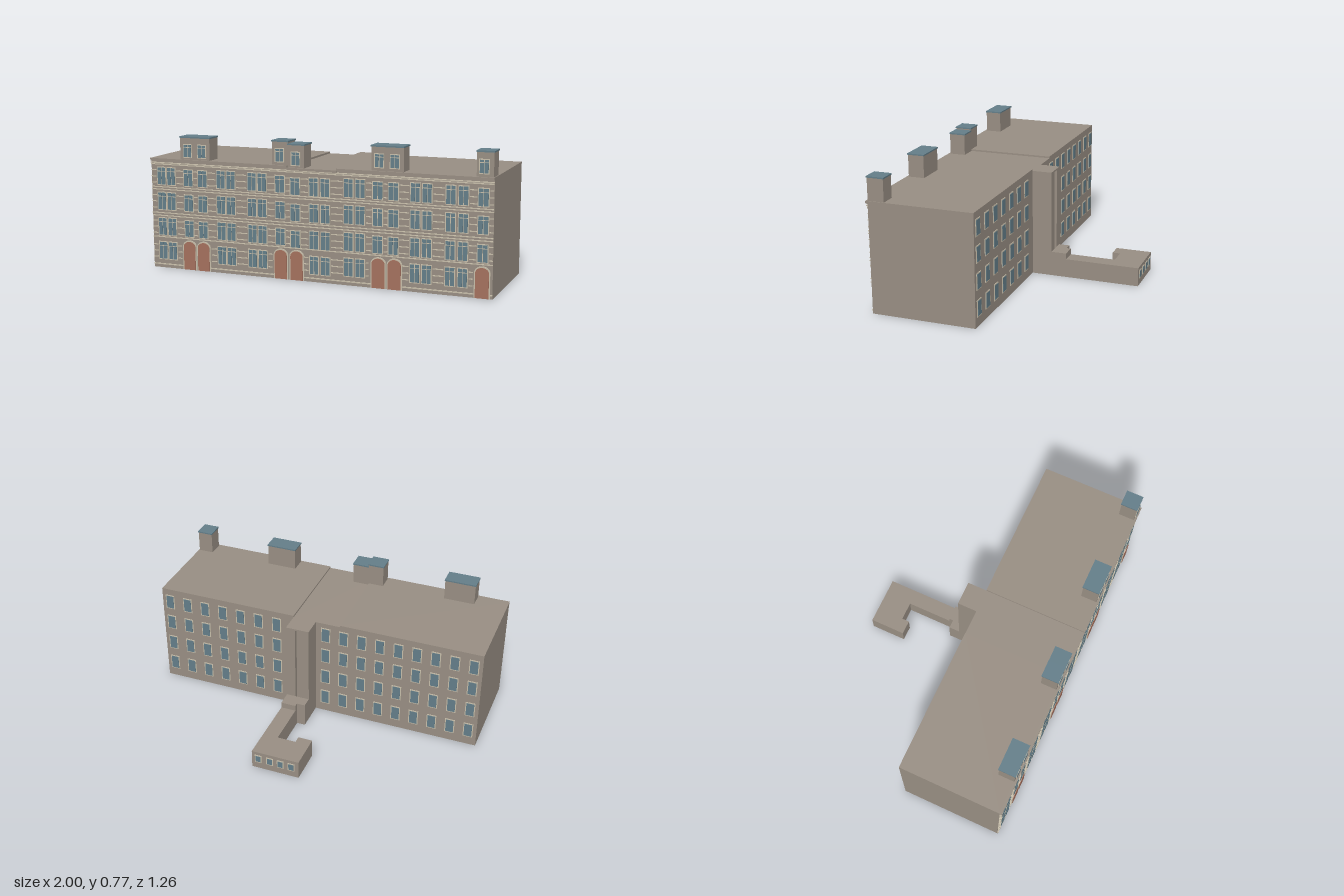
import * as THREE from 'three';
import { mergeGeometries } from 'three/addons/utils/BufferGeometryUtils.js';

const mat = (name, color) => Object.assign(new THREE.MeshStandardMaterial({ color }), { name });

// box given by its minimum and maximum corners
function box(x0, x1, y0, y1, z0, z1) {
  const g = new THREE.BoxGeometry(x1 - x0, y1 - y0, z1 - z0);
  return g.translate((x0 + x1) / 2, (y0 + y1) / 2, (z0 + z1) / 2);
}

// round-headed door panel standing on y = 0
function arch(x, w, h, z, depth) {
  const r = w / 2, rise = r * 0.8, s = new THREE.Shape();
  s.moveTo(-r, 0.002);
  s.lineTo(r, 0.002);
  s.lineTo(r, h - rise);
  s.absellipse(0, h - rise, r, rise, 0, Math.PI, false);
  s.lineTo(-r, 0.002);
  return new THREE.ExtrudeGeometry(s, { depth, bevelEnabled: false, curveSegments: 10 }).translate(x, 0, z);
}

export function createModel() {
  const root = new THREE.Group();
  root.name = 'terraceBuilding';
  const stone = mat('stone', 0x978d82);
  const trim = mat('paleTrim', 0xc6bda9);
  const glass = mat('glass', 0x637d88);
  const wood = mat('doorPaint', 0xa3705d);
  const add = (name, material, geos) => {
    const m = new THREE.Mesh(mergeGeometries(geos), material);
    m.name = name;
    root.add(m);
  };
  const F = 0.615, B = 0.015;

  // main blocks, the middle one slightly lower
  add('leftWing', stone, [box(0.14, 1, 0, 0.635, B, F)]);
  add('middleBlock', stone, [box(-0.15, 0.14, 0, 0.625, B, F)]);
  add('rightWing', stone, [box(-1, -0.15, 0, 0.635, B, F)]);

  // stair tower with a grooved back
  add('stairTower', stone, [
    box(0, 0.14, 0, 0.625, -0.075, B),
    box(0, 0.045, 0, 0.615, -0.1, -0.075),
    box(0.085, 0.14, 0, 0.615, -0.1, -0.075),
    box(0, 0.14, 0.615, 0.625, -0.1, -0.075),
  ]);

  // low passage and hooked annexe behind the tower
  add('passage', stone, [
    box(0, 0.14, 0, 0.145, -0.165, -0.1),
    box(0.05, 0.14, 0, 0.145, -0.19, -0.165),
    box(0.05, 0.14, 0, 0.11, -0.46, -0.19),
  ]);
  add('annexe', stone, [
    box(-0.145, 0.14, 0, 0.11, -0.625, -0.46),
    box(-0.145, -0.06, 0, 0.11, -0.46, -0.415),
  ]);

  // front windows: pale plate with two casements and two top lights
  const frames = [], panes = [];
  const frontWindow = (x, y0, y1, w, z = F) => {
    const h = w / 2, ty = y0 + (y1 - y0) * 0.76;
    frames.push(box(x - h, x + h, y0, y1, z - 0.002, z + 0.004));
    for (const s of [-1, 1]) {
      const a = x + s * 0.002, b = x + s * (h - 0.005);
      const lo = Math.min(a, b), hi = Math.max(a, b);
      panes.push(box(lo, hi, y0 + 0.005, ty - 0.002, z, z + 0.006));
      panes.push(box(lo, hi, ty + 0.002, y1 - 0.005, z, z + 0.006));
    }
  };
  const pairs = [-0.935, -0.873, -0.557, -0.495, -0.365, -0.303, 0.005, 0.072,
    0.207, 0.273, 0.58, 0.645, 0.772, 0.84];
  const singles = [-0.763, -0.673, -0.195, -0.105, 0.372, 0.46, 0.945];
  const doors = [-0.763, -0.673, -0.193, -0.098, 0.377, 0.468, 0.945];
  const floors = [0.048, 0.188, 0.336, 0.48];
  const drop = (x) => (x > -0.15 && x < 0.14 ? 0.008 : 0);
  floors.forEach((y, i) => {
    for (const x of pairs) frontWindow(x, y - drop(x), y + 0.106 - drop(x), 0.058);
    if (i > 0) for (const x of singles) frontWindow(x, y - drop(x), y + 0.1 - drop(x), 0.062);
  });

  // dormers: x range, height and window centres
  const walls = [], caps = [];
  const dormers = [
    [-0.81, -0.625, 0.765, [-0.763, -0.673]], [-0.24, -0.145, 0.77, [-0.195]],
    [-0.145, -0.05, 0.755, [-0.1]], [0.335, 0.515, 0.77, [0.38, 0.467]], [0.905, 0.995, 0.77, [0.945]],
  ];
  for (const [x0, x1, top, xs] of dormers) {
    walls.push(box(x0, x1, 0.62, top - 0.008, 0.522, F + 0.001));
    caps.push(box(x0 - 0.003, x1 + 0.003, top - 0.008, top, 0.518, F + 0.005));
    for (const x of xs) frontWindow(x, top - 0.12, top - 0.042, 0.056, F + 0.001);
  }
  add('dormers', stone, walls);
  add('dormerRoofs', glass, caps);
  add('frontWindowFrames', trim, frames);
  add('frontWindowPanes', glass, panes);

  // arched doors with pale surrounds
  add('doorSurrounds', trim, doors.map((x) => arch(x, 0.086, 0.171, F - 0.002, 0.008)));
  add('doors', wood, doors.map((x) => arch(x, 0.073, 0.164, F, 0.009)));

  // string courses, plinth line and cornice
  const belts = [];
  for (const y of [0.178, 0.302, 0.318, 0.454, 0.468, 0.598]) {
    belts.push(box(-1, 1, y, y + 0.005, F - 0.002, F + 0.005));
  }
  // short courses in the piers between windows
  const bays = [...pairs, ...singles].sort((a, b) => a - b);
  floors.forEach((y, i) => {
    const edge = (x) => (i === 0 && singles.includes(x) ? 0.05 : 0.033);
    for (let k = 0; k <= bays.length; k++) {
      const a = k ? bays[k - 1] + edge(bays[k - 1]) : -1;
      const b = k < bays.length ? bays[k] - edge(bays[k]) : 1;
      if (b - a < 0.015) continue;
      for (const d of [0.012, 0.048, 0.084]) {
        belts.push(box(a, b, y + d, y + d + 0.005, F - 0.002, F + 0.004));
      }
    }
  });
  let start = -1;
  for (const x of [...doors, 1.05]) {
    const end = Math.min(1, x - 0.044);
    if (end - start > 0.01) belts.push(box(start, end, 0.018, 0.024, F - 0.002, F + 0.005));
    start = x + 0.044;
  }
  add('stringCourses', trim, belts);
  add('cornice', stone, [
    box(-1, -0.15, 0.62, 0.635, F - 0.002, 0.628),
    box(-0.15, 0.14, 0.612, 0.625, F - 0.002, 0.628),
    box(0.14, 1, 0.62, 0.635, F - 0.002, 0.628),
  ]);
  add('corniceLine', trim, [box(-1, 1, 0.607, 0.612, F - 0.002, 0.624)]);

  // rear windows in four rows, and the annexe windows
  const rearFrames = [], rearPanes = [];
  const rearWindow = (x, y0, y1, w, z) => {
    rearFrames.push(box(x - w / 2, x + w / 2, y0, y1, z - 0.003, z + 0.002));
    rearPanes.push(box(x - w / 2 + 0.006, x + w / 2 - 0.006, y0 + 0.006, y1 - 0.006, z - 0.005, z));
  };
  for (const y of [0.055, 0.205, 0.355, 0.5]) {
    for (let i = 0; i < 7; i++) rearWindow(0.95 - i * 0.117, y, y + 0.095, 0.058, B);
    for (let i = 0; i < 9; i++) rearWindow(-0.95 + i * 0.111, y, y + 0.095, 0.058, B);
  }
  for (const x of [-0.1, -0.035, 0.03, 0.1]) rearWindow(x, 0.04, 0.09, 0.042, -0.625);
  add('rearWindowFrames', trim, rearFrames);
  add('rearWindowPanes', glass, rearPanes);

  return root;
}
